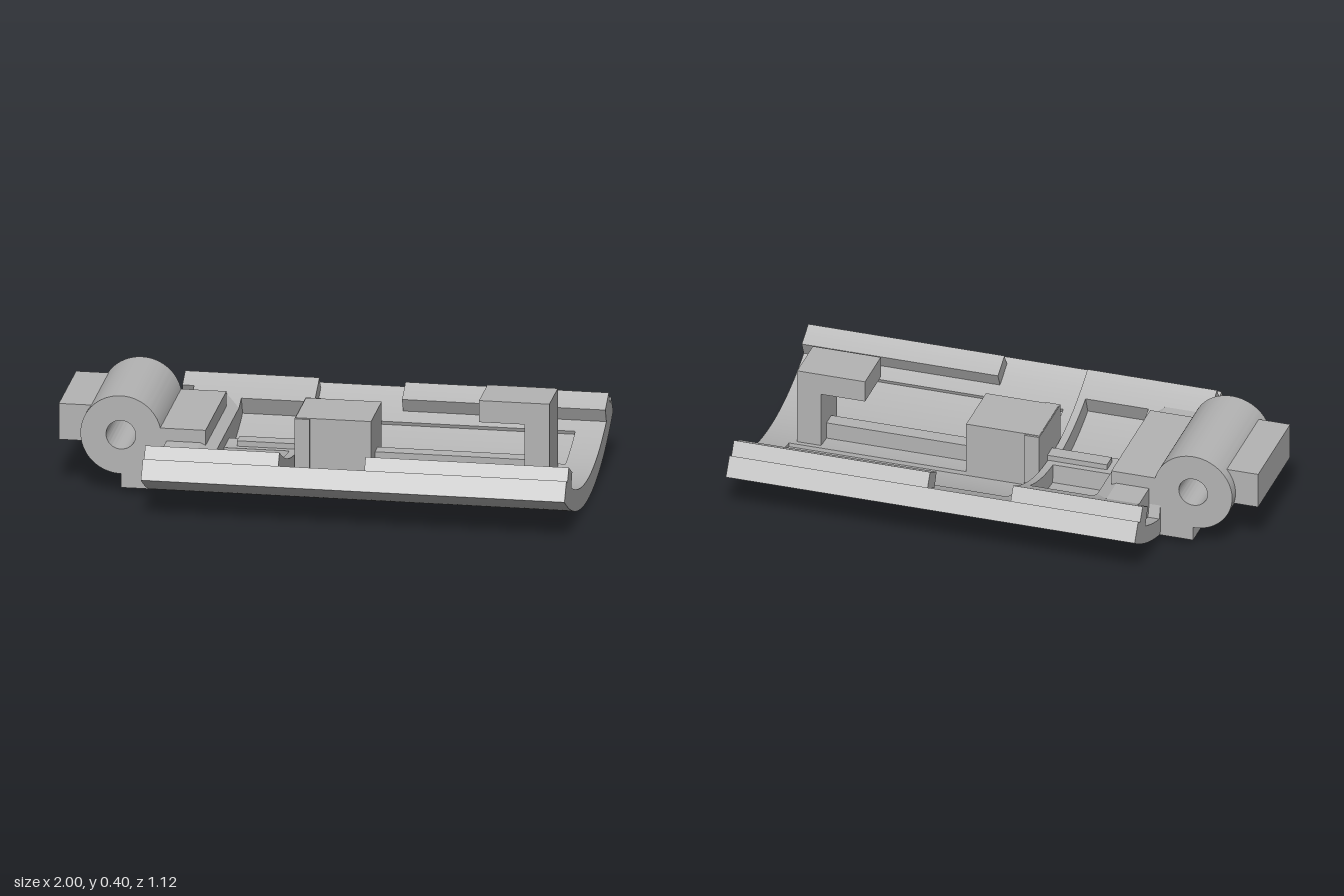
import * as THREE from 'three';
import { toCreasedNormals } from 'three/addons/utils/BufferGeometryUtils.js';

const CY = 1.033;                       // height of the shell's axis
const R_OUT = 1.033, R_FLOOR = 0.965, R_IN = 0.95, R_RAIL = 0.89;
const A_EDGE = 0.572, A_RAIL = 0.542;   // half angles of the shell and of its rails
const DOWN = -Math.PI / 2;
const ang = (z) => Math.asin(z / R_IN); // angle at which a given z lies

export function createModel() {
  const model = new THREE.Group();
  const grey = new THREE.MeshStandardMaterial({ color: 0xb4b4b4 });
  grey.name = 'matte grey';

  const add = (name, geo) => {
    const mesh = new THREE.Mesh(geo, grey);
    mesh.name = name;
    model.add(mesh);
    return mesh;
  };

  // extrude a z-y section along x
  const alongX = (shape, x0, x1) =>
    new THREE.ExtrudeGeometry(shape, { depth: x1 - x0, bevelEnabled: false, curveSegments: 28 })
      .rotateY(Math.PI / 2).translate(x0, 0, 0);

  // curved slab between two radii and two angles
  const slab = (name, rIn, rOut, a0, a1, x0, x1) => {
    const s = new THREE.Shape();
    s.absarc(0, CY, rOut, DOWN + a0, DOWN + a1, false);
    s.absarc(0, CY, rIn, DOWN + a1, DOWN + a0, true);
    add(name, toCreasedNormals(alongX(s, x0, x1), 0.5));
  };
  const slabPair = (name, rIn, rOut, a0, a1, x0, x1) => {
    slab(name + 'Left', rIn, rOut, a0, a1, x0, x1);
    slab(name + 'Right', rIn, rOut, -a1, -a0, x0, x1);
  };

  const box = (name, x0, x1, y0, y1, z0, z1) =>
    add(name, new THREE.BoxGeometry(x1 - x0, y1 - y0, z1 - z0)
      .translate((x0 + x1) / 2, (y0 + y1) / 2, (z0 + z1) / 2));

  // outer skin, open in the middle where the hinge foot sits
  slab('outerShell', R_FLOOR, R_OUT, -A_EDGE, A_EDGE, -0.5, 1);
  slabPair('outerShellFront', R_FLOOR, R_OUT, ang(0.225), A_EDGE, -0.625, -0.5);

  // inner skin of the long section, framing two shallow pockets
  const p0 = ang(0.12), p1 = ang(0.345);
  slab('innerSkinCentre', R_IN, R_FLOOR, -p0, p0, -0.11, 1);
  slabPair('innerSkinSide', R_IN, R_FLOOR, p1, A_EDGE, -0.11, 1);
  slabPair('pocketFrameNear', R_IN, R_FLOOR, p0, p1, -0.11, -0.05);
  slabPair('pocketFrameFar', R_IN, R_FLOOR, p0, p1, 0.89, 1);
  slabPair('longRail', R_RAIL, R_IN, ang(0.404), A_RAIL, 0.22, 1);

  // thick section near the hinge with two deep pockets and end slots
  const q0 = ang(0.063), q1 = ang(0.365);
  slabPair('thickLip', R_IN, R_FLOOR, ang(0.42), A_EDGE, -0.625, -0.11);
  slabPair('thickSide', R_RAIL, R_FLOOR, ang(0.42), A_RAIL, -0.625, -0.11);
  slabPair('thickInnerSide', R_RAIL, R_FLOOR, q1, ang(0.42), -0.58, -0.11);
  slab('thickFront', R_RAIL, R_FLOOR, -q1, q1, -0.58, -0.39);
  slab('thickFrontCentre', R_RAIL, R_FLOOR, -ang(0.25), ang(0.25), -0.625, -0.58);
  slab('thickSpine', R_RAIL, R_FLOOR, -q0, q0, -0.39, -0.14);
  slab('thickCrossbar', R_RAIL, R_FLOOR, -q1, q1, -0.14, -0.11);

  // flat-topped filling under the hinge plate, sloping down at its inner end
  const top = 0.22, fillR = 0.9;
  const a = Math.acos((CY - top) / fillR);
  const chord = new THREE.Shape();
  chord.absarc(0, CY, fillR, DOWN - a, DOWN + a, false);
  add('hingeFilling', alongX(chord, -0.58, -0.45));
  const ramp = alongX(chord, -0.45, -0.39);
  const pos = ramp.attributes.position;
  for (let i = 0; i < pos.count; i++) {
    if (pos.getX(i) > -0.42) pos.setY(i, Math.min(pos.getY(i), 0.19));
  }
  ramp.computeVertexNormals();
  add('hingeFillingRamp', ramp);

  // hinge barrel with its foot and upper plate
  const hx = -0.755, hy = 0.235, hr = 0.155;
  const hinge = new THREE.Shape();
  hinge.moveTo(hx, 0.025);
  hinge.lineTo(-0.5, 0.025);
  hinge.lineTo(-0.5, 0.205);
  hinge.lineTo(-0.43, 0.205);
  hinge.lineTo(-0.43, 0.27);
  hinge.absarc(hx, hy, hr, Math.asin(0.035 / hr), Math.PI * 1.5, false);
  hinge.closePath();
  const pin = new THREE.Path();
  pin.absarc(hx, hy, 0.057, 0, Math.PI * 2, true);
  hinge.holes.push(pin);
  const hingeGeo = new THREE.ExtrudeGeometry(hinge, { depth: 0.48, bevelEnabled: false, curveSegments: 40 })
    .translate(0, 0, -0.24);
  add('hinge', toCreasedNormals(hingeGeo, 0.5));
  box('hingeTab', -1, -0.87, 0.19, 0.333, -0.198, 0.198);

  // centre block with a slightly wider flange
  box('centreBlock', -0.105, 0.185, 0.07, 0.3, -0.122, 0.122);
  box('centreBlockFlange', -0.108, -0.05, 0.07, 0.298, -0.131, 0.131);

  // stiffening rib
  box('ribShort', -0.345, -0.1, 0.08, 0.165, -0.03, 0.03);
  box('ribLong', 0.18, 0.78, 0.07, 0.15, -0.03, 0.03);

  // hook at the far end
  const hook = new THREE.Shape([
    [0.77, 0.07], [0.865, 0.07], [0.865, 0.398], [0.595, 0.398], [0.595, 0.312], [0.77, 0.312],
  ].map(([x, y]) => new THREE.Vector2(x, y)));
  add('hook', new THREE.ExtrudeGeometry(hook, { depth: 0.194, bevelEnabled: false }).translate(0, 0, -0.097));

  return model;
}
